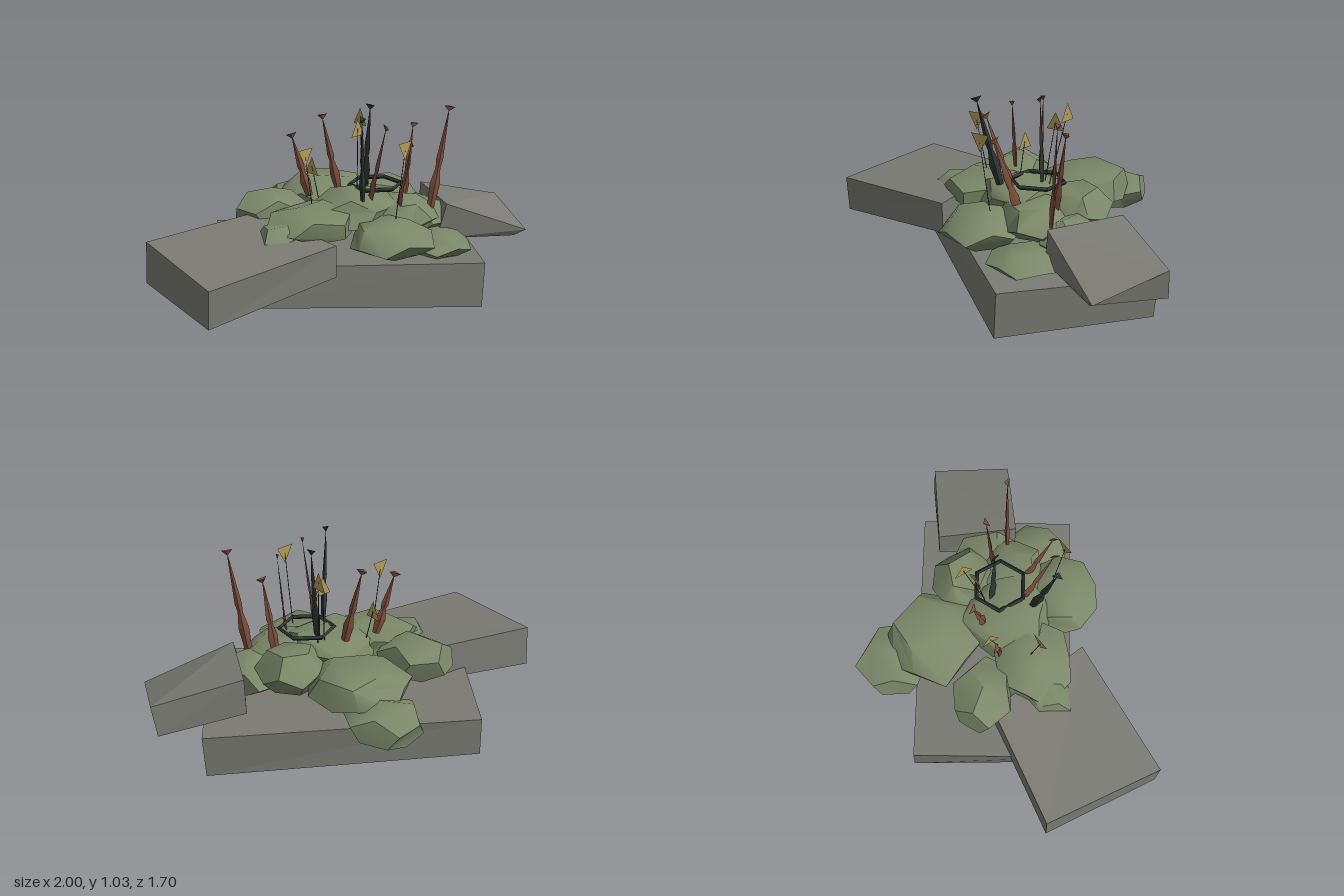
import * as THREE from 'three';
import { toCreasedNormals } from 'three/addons/utils/BufferGeometryUtils.js';

const mat = (name, color, side = THREE.FrontSide) => {
  const m = new THREE.MeshStandardMaterial({ color, side });
  m.name = name;
  return m;
};

export function createModel() {
  const stone = mat('stone', 0x7b7b74);
  const moss = mat('moss', 0x7b8868);
  const rust = mat('rust', 0x804f3d, THREE.DoubleSide);
  const dark = mat('charcoal', 0x2d3532, THREE.DoubleSide);
  const straw = mat('straw', 0xb09c56, THREE.DoubleSide);
  const model = new THREE.Group();

  const add = (name, geo, material, parent = model) => {
    const mesh = new THREE.Mesh(geo, material);
    mesh.name = name;
    parent.add(mesh);
    return mesh;
  };

  // Tilted stone slab: box whose corners are moved to four top and four bottom points.
  // Corner order: back left, back right, front right, front left (x, y, z).
  function slab(name, top, bottom) {
    const geo = new THREE.BoxGeometry(1, 1, 1);
    const p = geo.attributes.position;
    for (let i = 0; i < p.count; i++) {
      const right = p.getX(i) > 0, front = p.getZ(i) > 0;
      const k = front ? (right ? 2 : 3) : (right ? 1 : 0);
      p.setXYZ(i, ...(p.getY(i) > 0 ? top : bottom)[k]);
    }
    const flat = geo.toNonIndexed();
    flat.computeVertexNormals();
    add(name, flat, stone);
  }
  slab('baseSlab',
    [[-0.76, 0.27, -0.44], [0.60, 0.225, -0.72], [0.75, 0.245, 0.10], [-0.60, 0.29, 0.37]],
    [[-0.76, 0.075, -0.45], [0.59, 0, -0.71], [0.74, 0, 0.11], [-0.57, 0.07, 0.375]]);
  slab('leftSlab',
    [[-0.47, 0.45, -0.07], [-0.02, 0.405, 0.32], [-0.58, 0.36, 0.85], [-0.99, 0.41, 0.33]],
    [[-0.48, 0.26, -0.07], [-0.02, 0.235, 0.32], [-0.59, 0.16, 0.84], [-1.0, 0.185, 0.33]]);
  slab('rightSlab',
    [[0.41, 0.485, -0.57], [0.85, 0.38, -0.71], [1.0, 0.29, -0.32], [0.55, 0.48, -0.17]],
    [[0.40, 0.30, -0.58], [0.82, 0.22, -0.72], [0.93, 0.255, -0.32], [0.50, 0.28, -0.17]]);

  // Angular moss mounds: [x, y, z, half width, half height, half depth, turn]
  const mounds = [
    [-0.29, 0.345, -0.66, 0.21, 0.11, 0.20, 0.3],
    [-0.14, 0.43, -0.47, 0.27, 0.13, 0.26, 1.1],
    [0.20, 0.44, -0.38, 0.19, 0.13, 0.18, 2.0],
    [0.42, 0.37, -0.30, 0.19, 0.11, 0.18, 0.7],
    [0.49, 0.285, -0.07, 0.20, 0.07, 0.20, 1.6],
    [0.25, 0.37, 0.13, 0.23, 0.11, 0.22, 0.2],
    [0.05, 0.45, -0.10, 0.25, 0.13, 0.25, 2.6],
    [-0.16, 0.43, 0.07, 0.25, 0.11, 0.24, 0.9],
    [-0.40, 0.42, -0.14, 0.21, 0.13, 0.17, 1.9],
    [-0.32, 0.38, 0.19, 0.13, 0.09, 0.15, 2.4],
    [0.28, 0.42, -0.14, 0.24, 0.11, 0.20, 1.3],
  ];
  mounds.forEach(([x, y, z, rx, ry, rz, turn], n) => {
    const geo = new THREE.DodecahedronGeometry(1, 0);
    geo.rotateZ(0.35 + n * 0.4);
    geo.rotateY(turn);
    const p = geo.attributes.position;
    for (let i = 0; i < p.count; i++) {
      const [a, b, c] = [p.getX(i), p.getY(i), p.getZ(i)];
      const bump = 1 + 0.10 * Math.sin(a * 3 + n) * Math.cos(c * 4 + b * 2 + n);
      const flatten = b > 0 ? 1.15 : 0.75;
      p.setXYZ(i, a * bump * rx, b * flatten * ry, c * bump * rz);
    }
    add('mossMound', toCreasedNormals(geo, 0.95), moss).position.set(x, y, z);
  });

  // Places a group at a foot point with its +y axis toward a tip point.
  const UP = new THREE.Vector3(0, 1, 0);
  function stand(name, foot, tip) {
    const g = new THREE.Group();
    const from = new THREE.Vector3(...foot), dir = new THREE.Vector3(...tip).sub(from);
    const length = dir.length();
    g.name = name;
    g.position.copy(from);
    g.quaternion.setFromUnitVectors(UP, dir.normalize());
    model.add(g);
    return [g, length];
  }

  // Notched spikes with a small cap, flattened across the direction they lean in
  function spike(name, material, foot, tip, thickness) {
    const [g, len] = stand(name, foot, tip);
    const turn = Math.atan2(foot[2] - tip[2], tip[0] - foot[0]);
    const flattened = (geo) => {
      const faceted = geo.toNonIndexed();
      faceted.scale(1, 1, thickness);
      faceted.rotateY(turn);
      faceted.computeVertexNormals();
      return faceted;
    };
    const profile = [[0.018, 0], [0.028, 0.25], [0.013, 0.42], [0.019, 0.5], [0.003, 0.95], [0, 1]]
      .map(([r, t]) => new THREE.Vector2(r, t * len));
    add('spikeBody', flattened(new THREE.LatheGeometry(profile, 4)), material, g);
    const cap = new THREE.ConeGeometry(0.034, 0.028, 3);
    cap.rotateX(Math.PI);
    add('spikeCap', flattened(cap), material, g).position.y = len;
  }
  [
    [[-0.19, 0.54, -0.09], [-0.28, 0.87, -0.08], 0.5],
    [[-0.04, 0.53, -0.21], [-0.13, 0.94, -0.23], 0.5],
    [[0.13, 0.50, -0.05], [0.22, 0.96, 0.10], 0.15],
    [[0.28, 0.44, -0.07], [0.35, 0.87, 0.07], 0.15],
    [[0.31, 0.46, -0.24], [0.36, 0.89, -0.28], 0.5],
    [[0.46, 0.44, -0.20], [0.55, 1.0, -0.21], 0.5],
  ].forEach(([foot, tip, thickness]) => spike('rustSpike', rust, foot, tip, thickness));
  [
    [[0.10, 0.55, 0.02], [0.10, 1.01, 0.14], 0.6],
    [[0.10, 0.55, -0.20], [0.13, 1.01, -0.18], 0.2],
  ].forEach(([foot, tip, thickness]) => spike('darkSpike', dark, foot, tip, thickness));

  // Thin stalks carrying upright triangular leaves: foot, tip, turn, points down
  [
    [[0.09, 0.54, -0.24], [0.07, 0.92, -0.33], -0.8, false],
    [[0.06, 0.54, -0.22], [0.06, 0.87, -0.27], 0.9, false],
    [[0.27, 0.42, 0.08], [0.32, 0.86, 0.14], 0.9, true],
    [[-0.14, 0.50, -0.11], [-0.18, 0.69, -0.14], -0.8, false],
    [[-0.16, 0.50, 0.06], [-0.19, 0.81, 0.12], 0.9, true],
  ].forEach(([foot, tip, turn, down]) => {
    const [g, len] = stand('leafStalk', foot, tip);
    add('stalk', new THREE.CylinderGeometry(0.002, 0.003, len, 3), dark, g).position.y = len / 2;
    const s = down ? -1 : 1;
    const shape = new THREE.Shape([[-0.052, -0.043], [0.052, -0.043], [0, 0.052]]
      .map(([x, y]) => new THREE.Vector2(x * s, y * s)));
    const leaf = add('leaf', new THREE.ShapeGeometry(shape), straw);
    leaf.position.set(...tip);
    leaf.rotation.y = turn;
  });

  // Faceted ring lying above the mounds
  const ring = new THREE.TorusGeometry(0.142, 0.012, 4, 6).toNonIndexed();
  ring.computeVertexNormals();
  ring.rotateX(Math.PI / 2);
  ring.rotateY(0.2);
  add('ring', ring, dark).position.set(0.16, 0.59, -0.17);

  return model;
}
